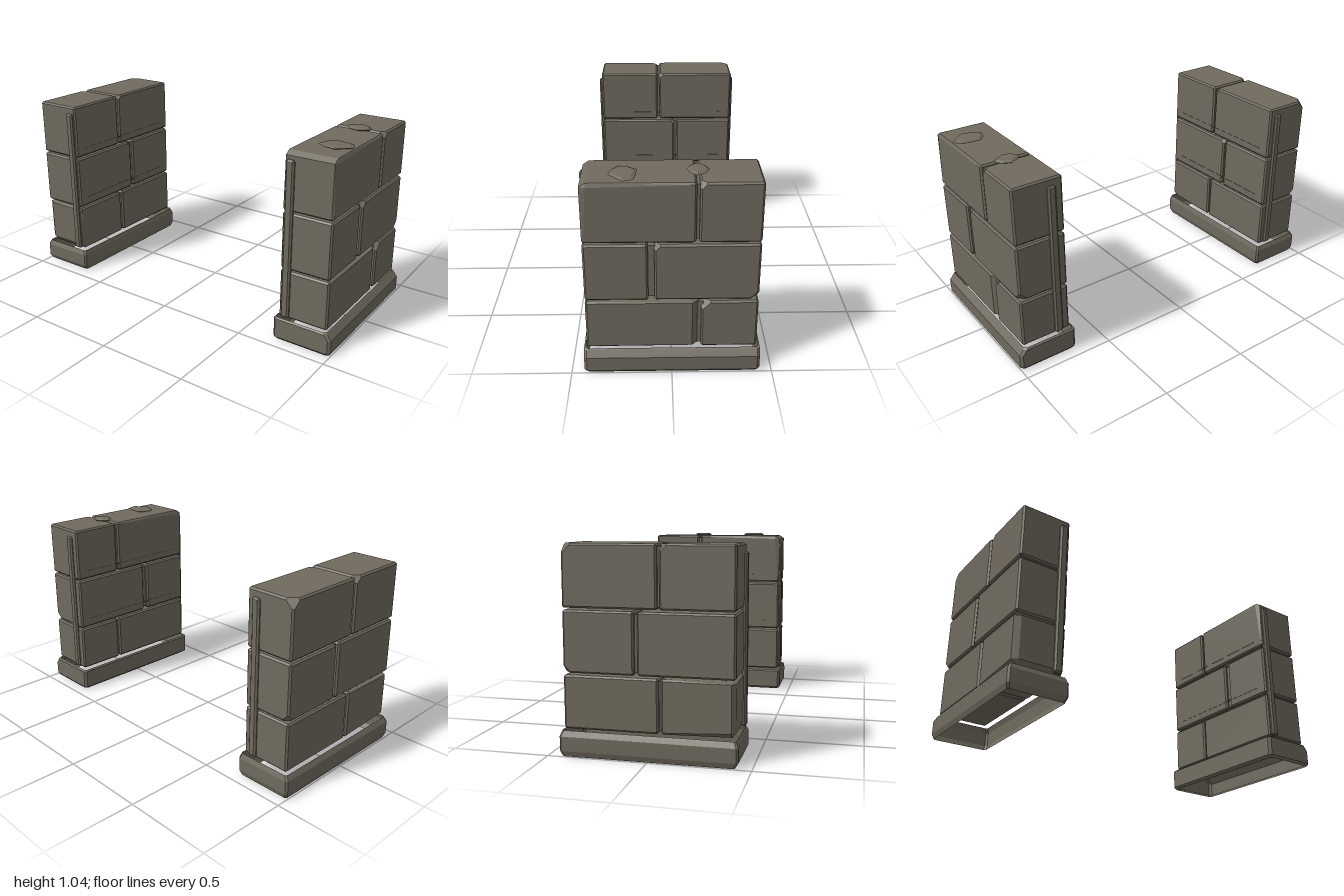
import * as THREE from 'three';
import { ConvexGeometry } from 'three/addons/geometries/ConvexGeometry.js';

const stone = new THREE.MeshStandardMaterial({ color: 0x706a5e });
stone.name = 'stone';
const thinStone = new THREE.MeshStandardMaterial({ color: 0x706a5e, side: THREE.DoubleSide });
thinStone.name = 'thin stone';

const BEVEL = 0.009;

function add(group, name, geometry, material = stone) {
  const mesh = new THREE.Mesh(geometry, material);
  mesh.name = name;
  group.add(mesh);
  return mesh;
}

// Bevelled block between two corners. "cuts" maps a corner such as '+-+' to
// a chip size, or to [x, y, z] insets for a wider edge bevel.
function block([x0, y0, z0], [x1, y1, z1], cuts = {}) {
  const pts = [];
  const b = BEVEL;
  for (const sx of [-1, 1]) for (const sy of [-1, 1]) for (const sz of [-1, 1]) {
    const key = [sx, sy, sz].map((s) => (s > 0 ? '+' : '-')).join('');
    const cut = cuts[key] ?? b;
    let insets;
    if (Array.isArray(cut)) {
      const [i, j, k] = cut;
      insets = [[0, j, k], [i, 0, k], [i, j, 0]];
    } else if (cut > b) {
      insets = [[0, b, cut], [0, cut, b], [b, 0, cut], [cut, 0, b], [b, cut, 0], [cut, b, 0]];
    } else {
      insets = [[0, b, b], [b, 0, b], [b, b, 0]];
    }
    for (const [i, j, k] of insets) {
      pts.push(new THREE.Vector3(
        (sx > 0 ? x1 : x0) - sx * i, (sy > 0 ? y1 : y0) - sy * j, (sz > 0 ? z1 : z0) - sz * k));
    }
  }
  return new ConvexGeometry(pts);
}

// Open plinth shell: stacked rectangular outlines with clipped corners.
// Each level is [y, x0, x1, z0, z1].
function plinthShell(levels, c = 0.01) {
  const pos = [];
  const rings = levels.map(([y, x0, x1, z0, z1]) => [
    [x0 + c, y, z1], [x1 - c, y, z1], [x1, y, z1 - c], [x1, y, z0 + c],
    [x1 - c, y, z0], [x0 + c, y, z0], [x0, y, z0 + c], [x0, y, z1 - c]]);
  for (let l = 0; l < rings.length - 1; l++) {
    for (let i = 0; i < 8; i++) {
      const j = (i + 1) % 8;
      const a = rings[l][i], b = rings[l][j], d = rings[l + 1][i], e = rings[l + 1][j];
      pos.push(...a, ...b, ...e, ...a, ...e, ...d);
    }
  }
  const g = new THREE.BufferGeometry();
  g.setAttribute('position', new THREE.Float32BufferAttribute(pos, 3));
  g.computeVertexNormals();
  return g;
}

// Thin ragged flake lying on the top stones
function flake(rx, rz, radii) {
  const n = radii.length;
  const pts = [];
  radii.forEach((r, i) => {
    const a = (i / n) * Math.PI * 2;
    const x = Math.cos(a) * rx * r, z = Math.sin(a) * rz * r;
    pts.push(new THREE.Vector3(x, 0.006, z), new THREE.Vector3(x * 0.75, 0.014, z * 0.75),
      new THREE.Vector3(x * 0.7, -0.004, z * 0.7));
  });
  return new ConvexGeometry(pts);
}

const ROWS = [[0.135, 0.4], [0.41, 0.714], [0.724, 1.03]];
const HALF = 0.42;

// One pillar: three courses of two stones, joint fillers and mortar strips
function pillar(name, x0, x1, joints, cuts, strips) {
  const g = new THREE.Group();
  g.name = name;
  ROWS.forEach(([y0, y1], r) => {
    const [back, front] = joints[r];
    add(g, 'frontStone' + (r + 1), block([x0, y0, front], [x1, y1, HALF], cuts[r].front));
    add(g, 'backStone' + (r + 1), block([x0, y0, -HALF], [x1, y1, back], cuts[r].back));
    const filler = add(g, 'jointFiller' + (r + 1),
      new THREE.BoxGeometry(x1 - x0 - 0.04, y1 - y0 - 0.025, front - back + 0.02));
    filler.position.set((x0 + x1) / 2, (y0 + y1) / 2, (front + back) / 2);
  });
  // vertical mortar strips on both ends
  strips.forEach(([x, z], i) => {
    add(g, i ? 'backStrip' : 'frontStrip',
      block([x - 0.023, 0.14, z - 0.015], [x + 0.023, 0.99, z + 0.015]));
  });
  // fine mortar lines on the inner face
  const inner = x0 > 0 ? x0 : x1;
  for (const y of [0.46, 0.77]) {
    const line = add(g, 'mortarLine', new THREE.BoxGeometry(0.004, 0.006, 0.7));
    line.position.set(inner, y, 0);
  }
  return g;
}

export function createModel() {
  const model = new THREE.Group();
  model.name = 'stonePillars';
  const b = BEVEL;

  const left = pillar('leftPillar', 0.695, 0.97,
    [[-0.143, -0.135], [0.083, 0.113], [-0.127, -0.113]],
    [
      { front: { '+--': [0.035, b, 0.035], '++-': [0.035, b, 0.035] }, back: { '+++': 0.045 } },
      { front: {}, back: { '+--': 0.04, '+++': 0.03 } },
      {
        front: { '-++': [b, 0.02, 0.03], '+++': [b, 0.02, 0.03] },
        back: { '+++': 0.03 },
      },
    ],
    [[0.733, 0.421], [0.76, -0.419]]);
  model.add(left);

  const right = pillar('rightPillar', -0.975, -0.7,
    [[0.052, 0.064], [-0.066, -0.05], [0.047, 0.059]],
    [
      { front: { '--+': [0.03, 0.025, 0.02], '-++': [0.03, b, 0.02], '+-+': [b, 0.025, 0.02] }, back: {} },
      { front: { '++-': 0.025 }, back: { '---': 0.035 } },
      { front: { '-+-': 0.035 }, back: { '-+-': 0.045, '+++': 0.025 } },
    ],
    [[-0.737, 0.421], [-0.757, -0.419]]);
  model.add(right);

  // open plinths around the feet
  add(left, 'leftPlinth', plinthShell([
    [0, 0.685, 0.99, -0.43, 0.425], [0.014, 0.67, 1.0, -0.44, 0.437],
    [0.09, 0.67, 1.0, -0.44, 0.437], [0.12, 0.67, 0.977, -0.44, 0.437],
    [0.128, 0.68, 0.97, -0.43, 0.428]], 0.014), thinStone);
  add(right, 'rightPlinth', plinthShell([
    [0, -0.99, -0.685, -0.43, 0.42], [0.028, -1.0, -0.675, -0.44, 0.437],
    [0.1, -1.0, -0.675, -0.44, 0.437], [0.128, -0.985, -0.685, -0.43, 0.425]]), thinStone);

  // flakes on top of the left pillar
  const f1 = add(left, 'topFlakeFront', flake(0.092, 0.075, [1, 0.75, 0.95, 0.9, 1, 0.85, 0.95, 0.8, 1]));
  f1.position.set(0.87, 1.031, 0.222);
  const f2 = add(left, 'topFlakeBack', flake(0.072, 0.056, [1, 0.85, 0.95, 0.9, 1, 0.85, 1, 0.9]));
  f2.position.set(0.83, 1.031, -0.122);

  return model;
}
